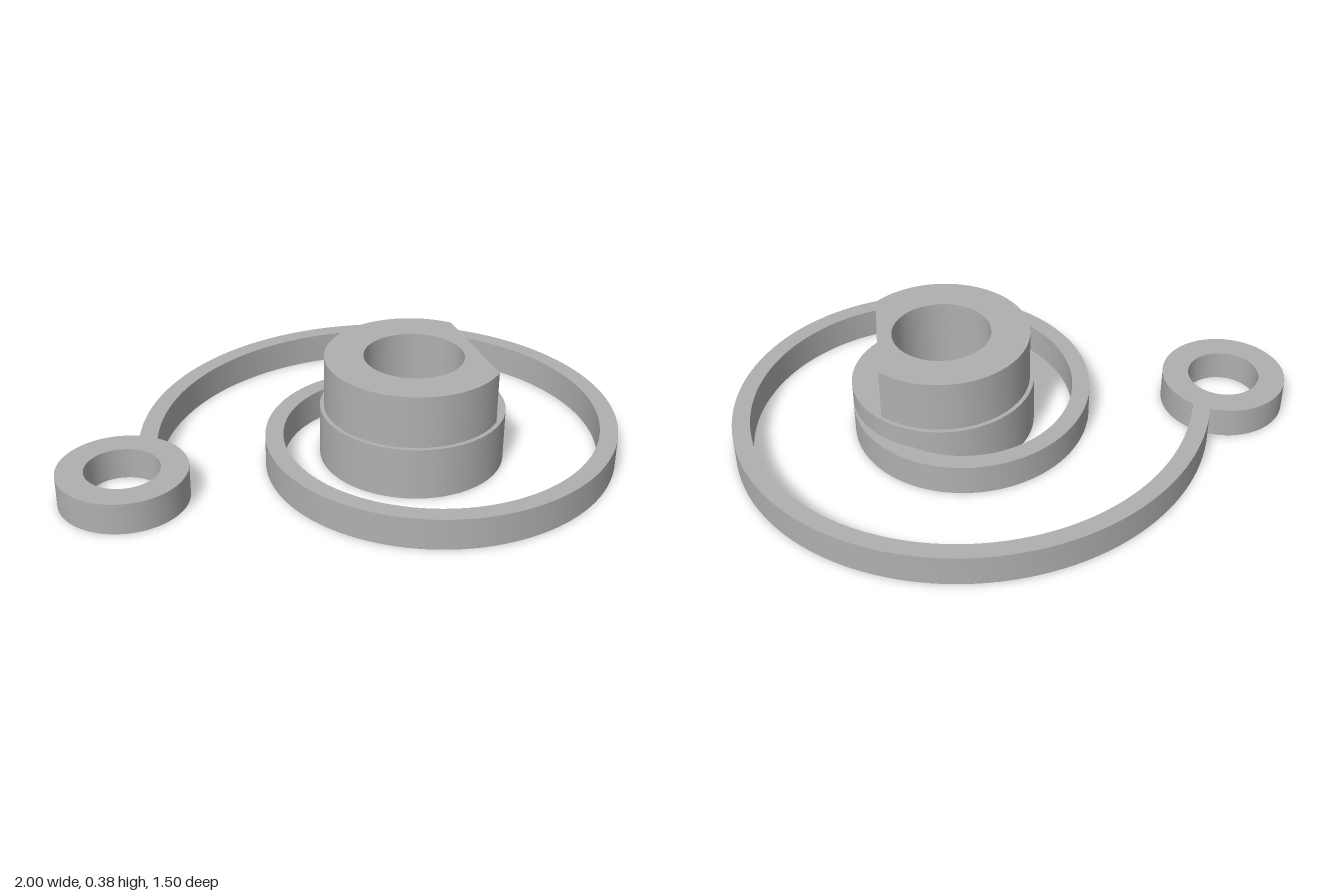
import * as THREE from 'three';
import { toCreasedNormals } from 'three/addons/utils/BufferGeometryUtils.js';

const TAU = Math.PI * 2;

export function createModel() {
  const model = new THREE.Group();
  const grey = new THREE.MeshStandardMaterial({ color: 0xb0b0b0 });

  // Extrudes a plan shape (shape y = -z) upward from y0 to y1
  function slab(name, shape, y0, y1) {
    const flat = new THREE.ExtrudeGeometry(shape, { depth: y1 - y0, bevelEnabled: false, curveSegments: 64 });
    flat.rotateX(-Math.PI / 2).translate(0, y0, 0);
    const mesh = new THREE.Mesh(toCreasedNormals(flat, 0.4), grey);
    mesh.name = name;
    model.add(mesh);
  }

  // Ring plan, optionally cut by a flat on its +x side
  function ring(x, z, outer, inner, flatX) {
    const a = flatX === undefined ? 0 : Math.acos((flatX - x) / outer);
    const shape = new THREE.Shape();
    shape.absarc(x, -z, outer, a, TAU - a, false);
    shape.closePath();
    shape.holes.push(new THREE.Path().absarc(x, -z, inner, 0, TAU, true));
    return shape;
  }

  // Central hub: round collar below, flat-sided boss above
  slab('hubCollar', ring(0.25, 0.105, 0.325, 0.174), 0, 0.187);
  slab('hubBoss', ring(0.25, 0.105, 0.31, 0.174, 0.475), 0.187, 0.375);

  // End eyelet
  slab('eyelet', ring(-0.778, 0.105, 0.222, 0.128), 0, 0.112);

  // Spiral arm: quarter arcs of growing radius [centre x, centre y, rx, ry, sweep]
  const quarter = Math.PI / 2;
  const arcs = [
    [0.175, -0.08, 0.368, 0.3735, quarter],
    [0.175, -0.17, 0.4285, 0.4635, quarter],
    [0.315, -0.17, 0.5685, 0.5485, quarter],
    [0.315, -0.04, 0.6535, 0.6785, quarter],
    [0.175, -0.04, 0.7935, 0.7585, quarter],
    [0.175, -0.15, 0.86, 0.8685, 1.339],
  ];
  const half = 0.0315, steps = 28;
  const outer = [], inner = [];
  arcs.forEach(([cx, cy, rx, ry, sweep], q) => {
    for (let i = q ? 1 : 0; i <= steps; i++) {
      const t = q * quarter + (sweep * i) / steps;
      const c = Math.cos(t), s = Math.sin(t);
      const n = new THREE.Vector2(c / rx, s / ry).normalize().multiplyScalar(half);
      const p = new THREE.Vector2(cx + rx * c, cy + ry * s);
      outer.push(p.clone().add(n));
      inner.push(p.clone().sub(n));
    }
  });
  slab('spiralArm', new THREE.Shape([...outer, ...inner.reverse()]), 0, 0.112);

  return model;
}
